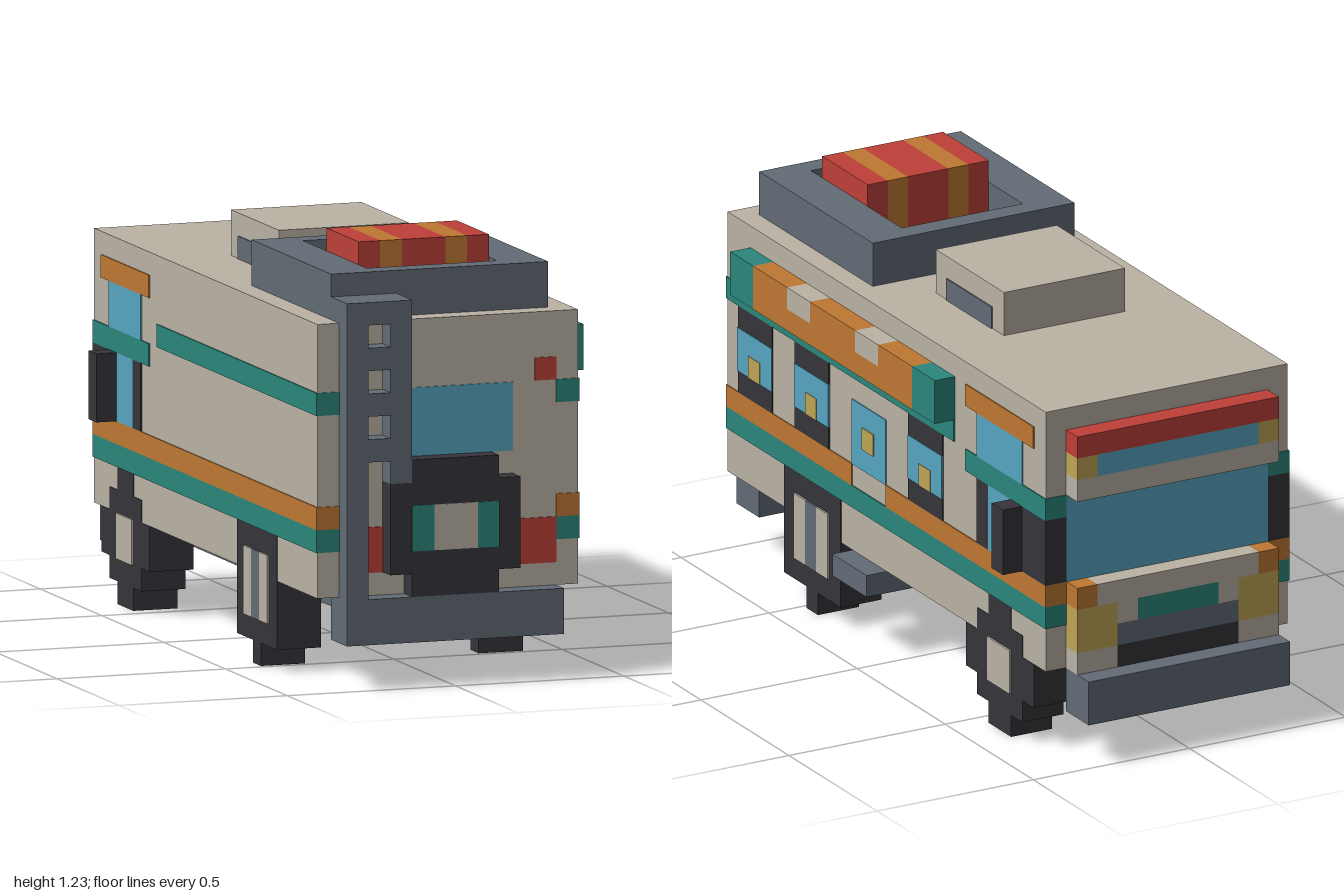
import * as THREE from 'three';

const V = 2 / 31; // block size; all sizes below are in blocks
const E = 0.06;   // thickness of painted plates

export function createModel() {
  const root = new THREE.Group();
  root.name = 'camperVan';
  root.scale.setScalar(V);

  const mat = (name, color) => {
    const m = new THREE.MeshStandardMaterial({ color });
    m.name = name;
    return m;
  };
  const cream = mat('cream', 0xbab3a5), grey = mat('slateGrey', 0x626b75), black = mat('charcoal', 0x35343a);
  const teal = mat('teal', 0x2b867c), orange = mat('orange', 0xbe7833), red = mat('red', 0xbd4038);
  const blue = mat('glassBlue', 0x57a5c1), gold = mat('gold', 0xbfa455);

  // Box between two corners
  const box = (name, m, x0, x1, y0, y1, z0, z1) => {
    const a = Math.min(x0, x1), b = Math.max(x0, x1);
    const mesh = new THREE.Mesh(new THREE.BoxGeometry(b - a, y1 - y0, z1 - z0), m);
    mesh.position.set((a + b) / 2, (y0 + y1) / 2, (z0 + z1) / 2);
    mesh.name = name;
    root.add(mesh);
  };
  // Painted plate on a side wall (s = 1 or -1)
  const side = (name, m, s, y0, y1, z0, z1, t = E) =>
    box(name, m, s * 5.95, s * (6 + t), y0, y1, z0, z1);
  // Painted plate on the +z wall
  const face = (name, m, x0, x1, y0, y1) => box(name, m, x0, x1, y0, y1, 14.45, 14.5 + E);

  box('body', cream, -6, 6, 4, 16, -13.5, 14.5);

  for (const s of [-1, 1]) {
    // Stripes that wrap round the body corners
    const bar = (name, m, y0, y1, z0, z1) => box(name, m, s * 5, s * (6 + E), y0, y1, z0, z1);
    bar('lowerTealStripe', teal, 6, 7, -13.5 - E, 14.5 + E);
    bar('upperTealStripe', teal, 12, 13, -5.5, 14.5 + E);
    bar('cabTealStripe', teal, 11, 12, -13.5 - E, -6.5);
    bar('cabPillar', black, 8, 11, -13.5 - E, -10.5);
    if (s < 0) bar('orangeStripe', orange, 7, 8, -13.5 - E, 14.5 + E);
    else {
      bar('orangeStripeFront', orange, 7, 8, 3.5, 14.5 + E);
      bar('orangeStripeBack', orange, 7, 8, -13.5 - E, 0.5);
    }

    // Cab windows and mirrors
    side('cabTrim', orange, s, 14, 15, -12.5, -6.5);
    side('bunkWindow', blue, s, 12, 14, -11.5, -7.5);
    side('cabDoorFrame', black, s, 8, 11, -8.5, -7.5);
    side('cabDoorWindow', blue, s, 8, 11, -10.5, -8.5);
    box('mirror', black, s * 6, s * 7, 8, 11, -11.5, -10.5);

    // Stepped wheels with hubs
    const out = s * (6 + E / 2);
    box('wheelA', black, s * 4, out, 1, 6, 4.5, 9.5);
    box('wheelATread', black, s * 4, out, 0, 1, 6.5, 7.5);
    [[5.5, cream], [6.5, grey], [7.5, cream]].forEach(([z, m]) =>
      side('wheelAHub', m, s, 2, 5, z, z + 1, 2 * E));
    [[1, 0, 6], [2, 1, 5], [3, 2, 4]].forEach(([h, y0, y1]) =>
      box('wheelB', black, s * 4, out - s * h * 0.002, y0, y1, -9.5 - h, -9.5 + h));
    side('wheelBHub', cream, s, 2, 4, -10.5, -8.5, 2 * E);

    // Chassis rail
    box('chassisRail', grey, s * 3, s * 4, 3, 4, -13.5, 13.5);

    // Lamps on the +z wall
    face('tailLamp', red, s * 3, s * 5, 5, 7);
    face('markerLamp', red, s * 4, s * 5, 13, 14);
    // Vent on the roof unit
    box('roofUnitVent', grey, s * 2.95, s * (3 + E), 16, 17, -3.5, 0.5);

    // Nose corners
    box('noseTrim', orange, s * 4, s * 5, 7, 8, -14.5, -13.5);
    box('headlamp', gold, s * 3, s * 5, 5, 7, -14.5, -13.5);
    box('noseCorner', cream, s * 3, s * 5, 4, 5, -14.5, -13.5);
    box('grilleEdge', cream, s * 2, s * 3, 6, 7, -14.5, -13.5);
    box('bunkLamp', gold, s * 4, s * 5, 13, 14, -14.5, -13.5);
  }

  // Living windows on the +x wall
  for (const z of [10.5, 5.5, -4.5]) {
    side('windowShade', black, 1, 8, 12, z, z + 3);
    side('window', blue, 1, 9, 11, z, z + 3, 1.5 * E);
    side('windowLamp', gold, 1, 9, 10, z + 1, z + 2, 2 * E);
  }
  side('doorWindow', blue, 1, 8, 11, 0.5, 3.5);
  side('doorLamp', gold, 1, 9, 10, 1.5, 2.5, 2 * E);
  box('doorStep', grey, 4, 7, 3, 4, 0.5, 3.5);

  // Rolled awning: orange lower half, patched upper half, teal ends
  box('awningLower', orange, 6, 7, 13, 14, -3.5, 10.5);
  [[-3.5, -0.5, orange], [-0.5, 1.5, cream], [1.5, 5.5, orange], [5.5, 7.5, cream], [7.5, 10.5, orange]]
    .forEach(([a, b, m]) => box('awningUpper', m, 6, 7, 14, 15, a, b));
  for (const z of [-5.5, 10.5]) box('awningEnd', teal, 6, 7, 13, 15, z, z + 2);

  // Windscreen, overhang and nose at the -z end
  box('windscreen', blue, -5, 5, 8, 12, -13.5 - E, -13.4);
  box('overhangTop', red, -5, 5, 14, 15, -14.5, -13.5);
  box('overhangWindow', blue, -4, 4, 13, 14, -14.5, -13.5);
  box('overhangBase', cream, -5, 5, 12, 13, -14.5, -13.5);
  box('hood', cream, -4, 4, 7, 8, -14.5, -13.5);
  box('grilleTop', teal, -2, 2, 6, 7, -14.5, -13.5);
  box('grilleMiddle', grey, -3, 3, 5, 6, -14.5, -13.5);
  box('grilleBottom', black, -3, 3, 4, 5, -14.5, -13.5);

  // Bumpers, axles and cross beams
  box('bumperBack', grey, -5, 5, 2, 4, -15.5, -13.5);
  box('bumperFront', grey, -5, 5, 2, 4, 13.5, 15.5);
  for (const z of [-9.5, 7]) box('axle', black, -4, 4, 2.98, 3.98, z - 1, z + 1);
  for (const z of [-13.5, 12.5]) box('crossBeam', grey, -3, 3, 3, 4, z, z + 1);

  // +z wall: window, spare wheel and ladder
  face('endWindow', blue, -3, 3, 10, 13);
  box('spareWheel', black, -3, 3, 5, 9, 14.5, 15.48);
  box('spareWheel', black, -2, 2, 4, 10, 14.5, 15.5);
  [[-2, -1, teal], [-1, 1, cream], [1, 2, teal]].forEach(([a, b, m]) =>
    box('spareHub', m, a, b, 6, 8, 15.4, 15.5 + E));
  box('ladderRail', grey, -5, -4, 4, 17, 14.5, 15.5);
  box('ladderRail', grey, -3, -2, 9, 17, 14.5, 15.5);
  for (const y of [10, 12, 14, 16]) box('ladderRung', grey, -4, -3, y, y + 1, 14.5, 15.5);
  box('ladderHook', grey, -5, -2, 16, 17, 13.5, 14.5);

  // Roof unit, roof rack and luggage
  box('roofUnit', cream, -3, 3, 16, 18, -4.5, 1.5);
  for (const s of [-1, 1]) {
    box('rackSide', grey, s * 3, s * 5, 16, 18, 3.5, 13.5);
    box('bagEnd', teal, s * 2, s * 3, 16, 17, 4.5, 6.5);
  }
  box('rackEnd', grey, -3, 3, 16, 18, 3.5, 4.5);
  box('rackEnd', grey, -3, 3, 16, 18, 12.5, 13.5);
  box('bag', orange, -2, 2, 16, 17, 4.5, 6.5);
  [[-3, -2, red], [-2, -1, orange], [-1, 1, red], [1, 2, orange], [2, 3, red]].forEach(([a, b, m]) =>
    box('suitcase', m, a, b, 16, 19, 7.5, 11.5));

  return root;
}
